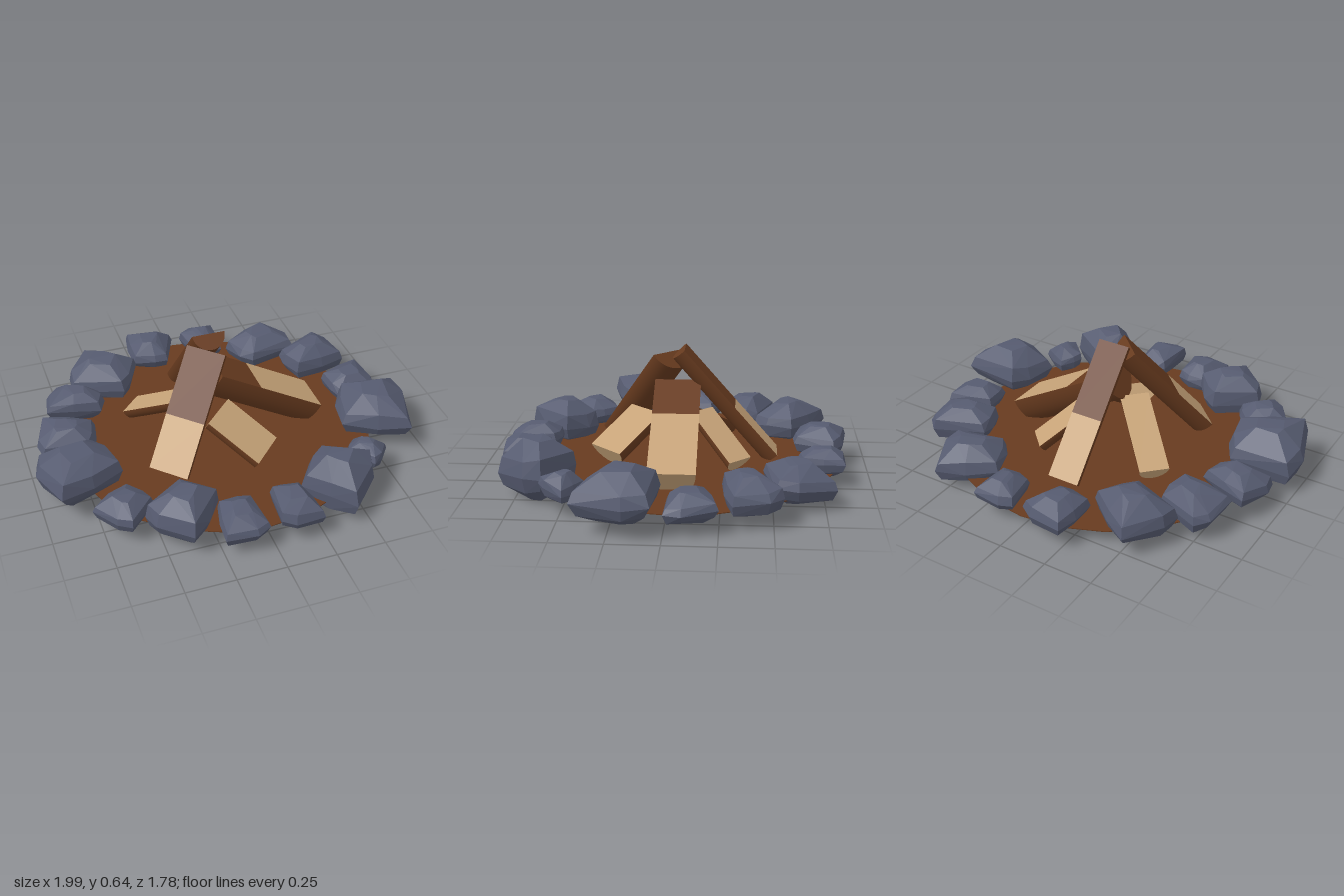
import * as THREE from 'three';
import { ConvexGeometry } from 'three/addons/geometries/ConvexGeometry.js';

const material = (name, color) => {
  const m = new THREE.MeshStandardMaterial({ color });
  m.name = name;
  return m;
};

function createRandom(seed) {
  return () => (seed = (seed * 16807) % 2147483647) / 2147483647;
}

export function createModel() {
  const bark = material('brown bark', 0x683b1f);
  const wood = material('cut wood', 0xc6a378);
  const stone = material('slate stone', 0x565b70);
  const model = new THREE.Group();
  model.name = 'campfire';

  const add = (parent, name, geometry, mat) => {
    const mesh = new THREE.Mesh(geometry, mat);
    mesh.name = name;
    parent.add(mesh);
    return mesh;
  };

  // Earth bed
  const bed = add(model, 'earthBed', new THREE.CylinderGeometry(0.81, 0.81, 0.004, 24), bark);
  bed.position.set(0, 0.066, -0.025);

  // Split log: round bark below, flat face above, running from inner to outer end
  function addLog(name, inner, outer, radius, depth, cut) {
    const a = new THREE.Vector3(...inner), b = new THREE.Vector3(...outer);
    const length = a.distanceTo(b);
    const log = new THREE.Group();
    log.name = name;
    const squash = depth / radius;

    const round = new THREE.CylinderGeometry(radius, radius, length, 20, 1, true, Math.PI / 2, Math.PI);
    add(log, 'barkSide', round.scale(1, 1, squash), bark);

    const outerEnd = new THREE.CircleGeometry(radius, 20, 0, Math.PI);
    outerEnd.rotateX(-Math.PI / 2).scale(1, 1, squash).translate(0, length / 2, 0);
    add(log, 'outerEnd', outerEnd, wood);

    const innerEnd = new THREE.CircleGeometry(radius, 20, Math.PI, Math.PI);
    innerEnd.rotateX(Math.PI / 2).scale(1, 1, squash).translate(0, -length / 2, 0);
    add(log, 'innerEnd', innerEnd, cut < 1 ? bark : wood);

    // Flat face, pale over the outer share given by cut
    const pale = length * cut;
    add(log, 'cutFace', new THREE.PlaneGeometry(radius * 2, pale)
      .translate(0, (length - pale) / 2, 0), wood);
    if (cut < 1) {
      add(log, 'barkFace', new THREE.PlaneGeometry(radius * 2, length - pale)
        .translate(0, -pale / 2, 0), bark);
    }

    const y = b.clone().sub(a).normalize();
    const x = y.clone().cross(new THREE.Vector3(0, 1, 0)).normalize();
    const z = x.clone().cross(y);
    log.quaternion.setFromRotationMatrix(new THREE.Matrix4().makeBasis(x, y, z));
    log.position.copy(a).add(b).multiplyScalar(0.5);
    model.add(log);
  }

  // Leaning logs
  addLog('backLog', [-0.035, 0.645, -0.05], [-0.035, 0.1, -0.53], 0.085, 0.085, 0.46);
  addLog('frontRightLog', [-0.075, 0.61, 0.035], [-0.375, 0.135, 0.337], 0.106, 0.106, 0.44);
  addLog('leftLog', [-0.01, 0.48, -0.015], [0.545, 0.165, -0.015], 0.118, 0.17, 0.62);
  // Short split pieces
  addLog('frontLeftSplit', [-0.05, 0.31, 0.155], [0.147, 0.15, 0.347], 0.115, 0.1, 1);
  addLog('backRightSplit', [-0.12, 0.345, 0.01], [-0.405, 0.14, -0.27], 0.076, 0.076, 1);
  addLog('backLeftSplit', [0.05, 0.34, -0.14], [0.25, 0.14, -0.34], 0.074, 0.074, 1);

  // Ring of stones: x, z, width along the ring, depth outwards, bottom, top, twist
  const stones = [
    [-0.795, 0.2, 0.38, 0.38, 0.04, 0.29, 0],
    [-0.785, -0.12, 0.26, 0.3, 0.05, 0.21, -0.1],
    [-0.68, -0.385, 0.24, 0.31, 0.05, 0.22, 0.24],
    [-0.475, -0.59, 0.33, 0.35, 0.03, 0.25, 0.39],
    [-0.16, -0.755, 0.27, 0.27, 0.05, 0.21, -0.42],
    [0.155, -0.75, 0.22, 0.24, 0.05, 0.19, 0.25],
    [0.455, -0.61, 0.31, 0.34, 0.03, 0.22, -0.55],
    [0.68, -0.385, 0.26, 0.33, 0.05, 0.24, -0.23],
    [0.8, -0.115, 0.25, 0.26, 0.05, 0.19, 0],
    [0.795, 0.2, 0.38, 0.38, 0.05, 0.29, 0],
    [0.625, 0.49, 0.18, 0.19, 0.06, 0.2, 0],
    [0.41, 0.635, 0.31, 0.32, 0.0, 0.29, 0.28],
    [0.135, 0.745, 0.23, 0.27, 0.06, 0.21, -0.15],
    [-0.14, 0.745, 0.23, 0.27, 0.05, 0.2, 0.15],
    [-0.38, 0.62, 0.3, 0.31, 0.02, 0.27, -0.28],
    [-0.635, 0.49, 0.24, 0.25, 0.05, 0.2, 0],
  ];
  // Blocky outline, wider on its outer side: along the ring, outwards
  const outline = [[-0.7, -0.95], [0.2, -1], [0.75, -0.85], [1, 0.75], [0.4, 1], [-0.95, 0.9], [-0.9, 0]];
  // Height share and outline scale of each layer: narrow foot, blunt rim, low roof
  const layers = [[0, 0.5], [0.2, 0.88], [0.45, 1], [0.7, 0.9], [0.98, 0.38]];
  const random = createRandom(4711);
  const jitter = (amount) => (random() - 0.5) * amount;

  stones.forEach(([x, z, width, depth, low, high, twist], i) => {
    const flip = i % 2 ? 1 : -1;
    const tilt = jitter(0.25);
    const points = [];
    for (const [share, size] of layers) {
      for (const [t, r] of outline) {
        const lean = share > 0 && share < 0.9 ? tilt * t : 0;
        points.push(new THREE.Vector3(
          t * flip * size * (1 + jitter(0.08)) * width / 2,
          low + (high - low) * THREE.MathUtils.clamp(share + lean + jitter(0.1), 0, 1),
          r * size * (1 + jitter(0.06)) * depth / 2));
      }
    }
    const rock = add(model, `ringStone${i + 1}`, new ConvexGeometry(points), stone);
    rock.position.set(x, 0, z);
    rock.rotation.y = Math.atan2(x, z) + twist;
  });

  return model;
}
